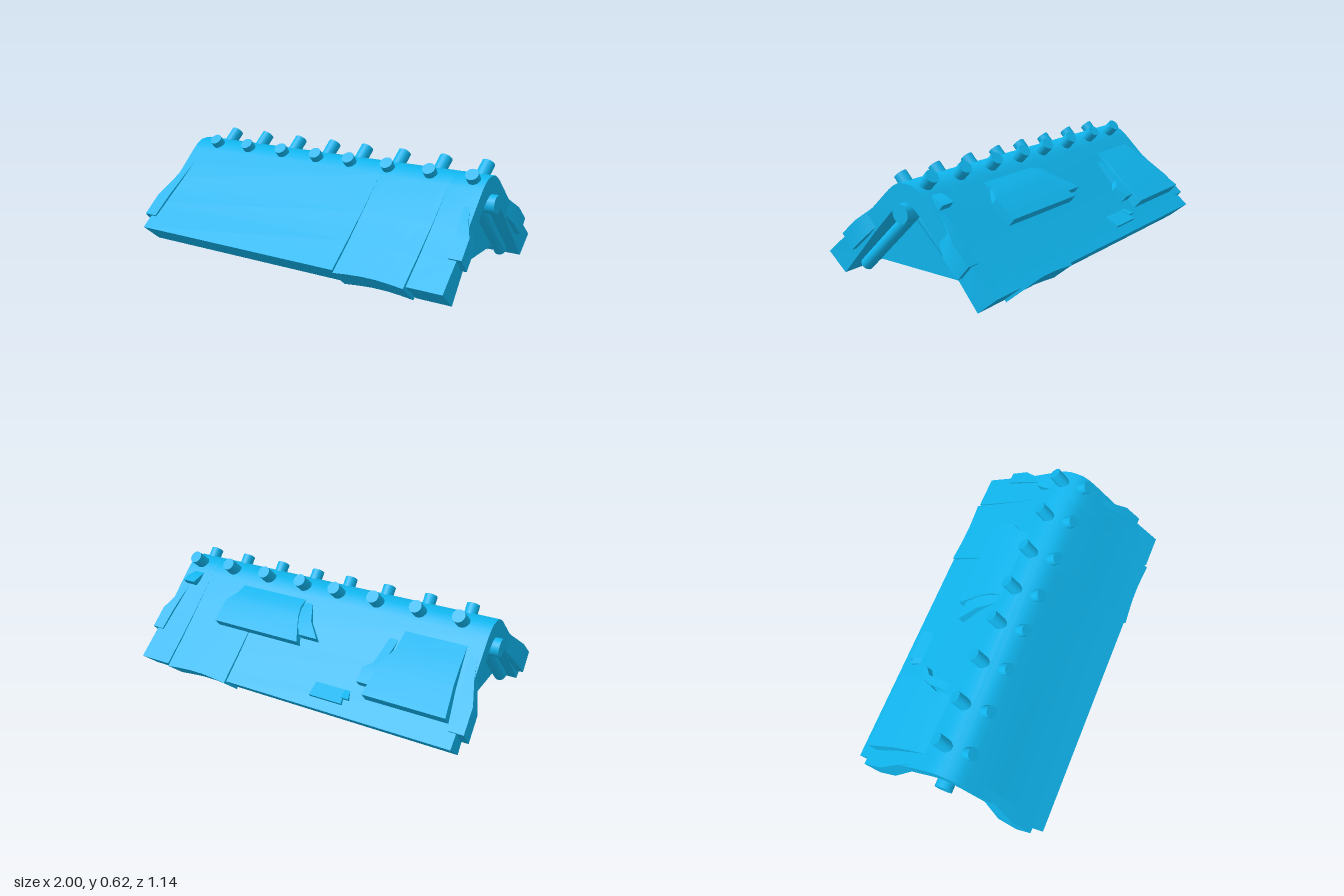
import * as THREE from 'three';
import { toCreasedNormals } from 'three/addons/utils/BufferGeometryUtils.js';

const material = new THREE.MeshStandardMaterial({ color: 0x0fb5ee });

// Half profile of the thatch as [z, y], ridge to eave; outer and inner points pair up.
const OUTER = [[0, 0.553], [0.04, 0.55], [0.075, 0.533], [0.11, 0.507], [0.28, 0.345], [0.42, 0.222], [0.56, 0.105]];
const INNER = [[0, 0.46], [0.025, 0.455], [0.05, 0.44], [0.08, 0.415], [0.215, 0.275], [0.33, 0.143], [0.447, 0.01]];

// Height of the outer thatch surface at a distance z from the ridge.
function surfaceY(z) {
  let i = 0;
  while (i < OUTER.length - 2 && z > OUTER[i + 1][0]) i++;
  const [a, b] = [OUTER[i], OUTER[i + 1]];
  return a[1] + (b[1] - a[1]) * (z - a[0]) / (b[0] - a[0]);
}

// Closed solid through equal rings; each ring's first half pairs with its reversed second half.
function loft(rings, crease = 0.5) {
  const n = rings[0].length;
  const tris = [];
  const quad = (a, b, c, d) => tris.push(a, b, c, a, c, d);
  for (let r = 0; r < rings.length - 1; r++) {
    for (let i = 0; i < n; i++) {
      const j = (i + 1) % n;
      quad(rings[r][i], rings[r][j], rings[r + 1][j], rings[r + 1][i]);
    }
  }
  const first = rings[0], last = rings[rings.length - 1];
  for (let i = 0; i < n / 2 - 1; i++) {
    quad(first[i], first[n - 1 - i], first[n - 2 - i], first[i + 1]);
    quad(last[i], last[i + 1], last[n - 2 - i], last[n - 1 - i]);
  }
  // Turn the faces outward when the signed volume is negative.
  let volume = 0;
  for (let i = 0; i < tris.length; i += 3) {
    volume += tris[i].dot(new THREE.Vector3().crossVectors(tris[i + 1], tris[i + 2]));
  }
  if (volume < 0) tris.reverse();
  return toCreasedNormals(new THREE.BufferGeometry().setFromPoints(tris), crease);
}

// Cross-section of the roof: x at the ridge, x at the eave, and eave lengthening.
function roofRing([x, xEave, extra]) {
  const point = (side, i, [z, y]) => {
    const w = THREE.MathUtils.clamp((z - 0.2) / 0.3, 0, 1);
    const k = i === OUTER.length - 1 ? extra : 0;
    return new THREE.Vector3(x + (xEave - x) * w, y - 0.64 * k, side * (z + 0.77 * k));
  };
  const arch = (half) => [
    ...half.map((p, i) => point(1, i, p)).reverse(),
    ...half.map((p, i) => point(-1, i, p)).slice(1),
  ];
  return [...arch(OUTER), ...arch(INNER).reverse()];
}

// Thatch layer on a slope; rows are [z, x0, x1, lift, depth] from the ridge downward.
function slopeLayer(side, rows) {
  return loft(rows.map(([z, x0, x1, lift, depth = 0.02]) => {
    const y = surfaceY(z);
    const p = (x, h) => new THREE.Vector3(x, y + 0.76 * h, side * (z + 0.65 * h));
    return [p(x0, lift), p(x1, lift), p(x1, -depth), p(x0, -depth)];
  }));
}

// Cylinder between two points.
function rod(from, to, radius) {
  const a = new THREE.Vector3(...from), b = new THREE.Vector3(...to);
  const g = new THREE.CylinderGeometry(radius, radius, a.distanceTo(b), 20);
  const dir = b.clone().sub(a).normalize();
  g.applyQuaternion(new THREE.Quaternion().setFromUnitVectors(new THREE.Vector3(0, 1, 0), dir));
  const mid = a.add(b).multiplyScalar(0.5);
  return g.translate(mid.x, mid.y, mid.z);
}

export function createModel() {
  const model = new THREE.Group();
  const add = (name, geometry) => {
    const mesh = new THREE.Mesh(geometry, material);
    mesh.name = name;
    model.add(mesh);
  };

  // Thatch in three panels, parted by narrow splits near the eaves
  const panels = [
    [[-0.95, -0.96, 0], [0.374, 0.367, 0]],
    [[0.374, 0.377, 0.014], [0.45, 0.45, 0.006], [0.53, 0.53, 0], [0.62, 0.62, 0], [0.7, 0.7, 0.006], [0.778, 0.774, 0.014]],
    [[0.778, 0.783, 0], [0.962, 0.975, 0]],
  ];
  for (const columns of panels) add('thatchPanel', loft(columns.map(roofRing), 0.45));

  for (const side of [1, -1]) {
    // Loose clumps at the gable ends
    add('leftEndClump', slopeLayer(side, [
      [0.19, 0.9, 0.93, 0, 0.06],
      [0.25, 0.91, 0.955, 0.008, 0.08],
      [0.32, 0.92, 0.995, 0.012, 0.088],
      [0.413, 0.93, 1, 0.01, 0.09],
    ]));
    add('rightEndClump', slopeLayer(side, [
      [0.19, -0.93, -0.89, 0, 0.06],
      [0.28, -0.955, -0.9, 0.008, 0.09],
      [0.38, -0.995, -0.912, 0.012, 0.11],
      [0.494, -1, -0.92, 0.01, 0.115],
    ]));
  }

  // Raised layers on the back slope
  const layers = [
    [[0.13, -0.86, -0.52, -0.01], [0.24, -0.87, -0.515, 0.028], [0.33, -0.88, -0.465, 0.05], [0.465, -0.905, -0.45, 0.07]],
    [[0.2, -0.5, -0.45, 0], [0.32, -0.48, -0.43, 0.035], [0.35, -0.46, -0.385, 0.042], [0.415, -0.455, -0.385, 0.05]],
    [[0.42, -0.32, -0.15, -0.01], [0.515, -0.34, -0.15, 0.022]],
    [[0.44, -0.35, -0.32, -0.005], [0.49, -0.37, -0.33, 0.022]],
    [[0.12, 0.11, 0.53, -0.005], [0.17, 0.11, 0.535, 0.022], [0.22, 0.09, 0.58, 0.04], [0.325, 0.03, 0.58, 0.056]],
    [[0.14, 0.06, 0.11, 0], [0.22, 0.01, 0.1, 0.03], [0.29, -0.07, 0.04, 0.045]],
    [[0.11, 0.84, 0.9, -0.005], [0.15, 0.84, 0.92, 0.025], [0.18, 0.85, 0.925, 0.04]],
  ];
  for (const rows of layers) add('raisedThatch', slopeLayer(-1, rows));

  // Ridge pole, rafters and pegs
  add('ridgePole', rod([-0.99, 0.41, 0], [1, 0.41, 0], 0.05));
  for (const x of [-0.88, 0.06, 0.88]) {
    for (const side of [1, -1]) add('rafter', rod([x, 0.41, 0], [x, 0.045, side * 0.38], 0.035));
  }
  for (const x of [-0.79, -0.55, -0.3, -0.06, 0.16, 0.4, 0.65, 0.89]) {
    add('frontPeg', rod([x, 0.48, 0.01], [x + 0.003, 0.573, 0.095], 0.035));
    add('backPeg', rod([x - 0.01, 0.49, -0.01], [x + 0.003, 0.592, -0.115], 0.036));
  }

  // Triangular gable walls
  const triangle = new THREE.Shape([[-0.32, 0.086], [0.32, 0.086], [0, 0.43]].map(([z, y]) => new THREE.Vector2(z, y)));
  for (const x of [-0.86, 0.68]) {
    const g = new THREE.ExtrudeGeometry(triangle, { depth: 0.18, bevelEnabled: false });
    add('gableWall', g.rotateY(Math.PI / 2).translate(x, 0, 0));
  }
  return model;
}
